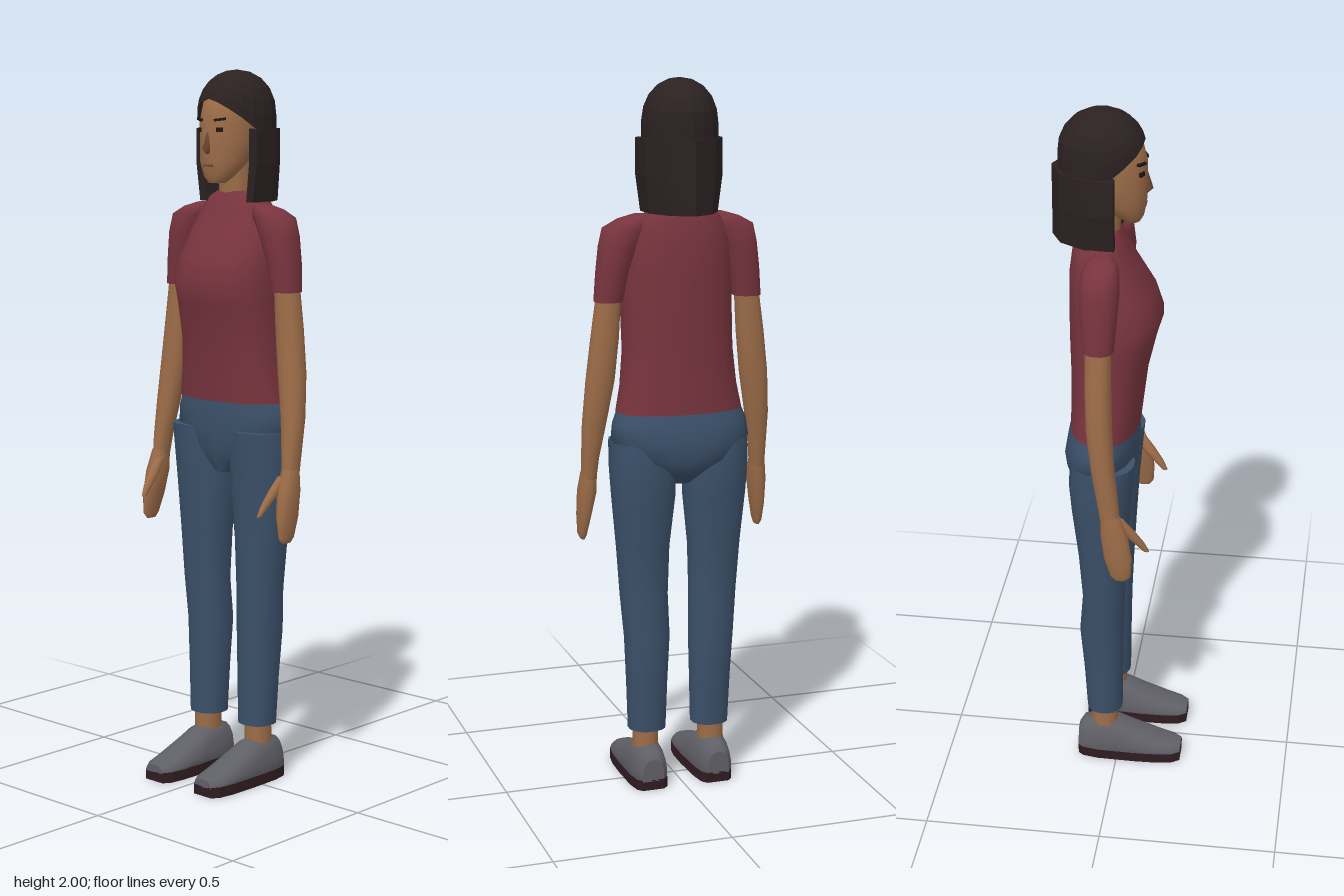
import * as THREE from 'three';

const mat = (name, color, side = THREE.FrontSide, flatShading = false) => {
  const m = new THREE.MeshStandardMaterial({ color, side, flatShading });
  m.name = name;
  return m;
};

// Closed loft through superellipse sections [t, x0, x1, b0, b1].
// Along 'y' t is height and b is z; along 'z' t is depth and b is height.
function loft(rows, n = 14, e = 2.2, axis = 'y') {
  const pos = [], idx = [];
  const flip = (rows[0][0] > rows[rows.length - 1][0]) !== (axis === 'z');
  const tri = (a, b, c) => (flip ? idx.push(a, c, b) : idx.push(a, b, c));
  const put = (x, t, b) => (axis === 'y' ? pos.push(x, t, b) : pos.push(x, b, t));
  const ring = ([t, x0, x1, b0, b1]) => {
    const start = pos.length / 3;
    for (let j = 0; j < n; j++) {
      const a = ((j + 0.5) / n) * Math.PI * 2, c = Math.cos(a), s = Math.sin(a);
      const p = (v) => Math.sign(v) * Math.abs(v) ** (2 / e);
      put((x0 + x1) / 2 + (p(c) * (x1 - x0)) / 2, t, (b0 + b1) / 2 + (p(s) * (b1 - b0)) / 2);
    }
    return start;
  };
  const starts = rows.map(ring);
  for (let i = 0; i < rows.length - 1; i++)
    for (let j = 0; j < n; j++) {
      const k = (j + 1) % n, a = starts[i], b = starts[i + 1];
      tri(a + j, b + j, a + k);
      tri(a + k, b + j, b + k);
    }
  // End caps with their own vertices keep the rims sharp
  [rows[0], rows[rows.length - 1]].forEach((r, end) => {
    const s = ring(r);
    for (let j = 1; j < n - 1; j++) end ? tri(s, s + j + 1, s + j) : tri(s, s + j, s + j + 1);
  });
  const g = new THREE.BufferGeometry();
  g.setAttribute('position', new THREE.Float32BufferAttribute(pos, 3));
  g.setIndex(idx);
  g.computeVertexNormals();
  return g;
}

// Mirror the sections for the right side
const sided = (rows, s) => (s > 0 ? rows : rows.map(([t, a, b, c, d]) => [t, -b, -a, c, d]));
// Sections symmetric about x = 0: [t, halfWidth, b0, b1]
const centred = (rows) => rows.map(([t, w, a, b]) => [t, -w, w, a, b]);

// Dome of hair whose lower edge arches over the forehead
function hairCap(n = 20, rows = 6) {
  const pos = [], idx = [];
  for (let i = 0; i <= rows; i++)
    for (let j = 0; j < n; j++) {
      const a = (j / n) * Math.PI * 2;
      const off = Math.min(a, Math.PI * 2 - a);
      const hem = 1.92 - 0.09 * Math.min(1, off / 1.4) ** 1.5;
      const y = hem + (2 - hem) * Math.sin((i / rows) * Math.PI / 2);
      const s = Math.sqrt(Math.max(0, 1 - Math.max(0, (y - 1.865) / 0.135) ** 2.5));
      pos.push(Math.sin(a) * 0.103 * s, y, -0.053 + Math.cos(a) * 0.119 * s);
    }
  for (let i = 0; i < rows; i++)
    for (let j = 0; j < n; j++) {
      const k = (j + 1) % n, a = i * n, b = a + n;
      idx.push(a + j, a + k, b + j, a + k, b + k, b + j);
    }
  const g = new THREE.BufferGeometry();
  g.setAttribute('position', new THREE.Float32BufferAttribute(pos, 3));
  g.setIndex(idx);
  g.computeVertexNormals();
  return g;
}

export function createModel() {
  const root = new THREE.Group();
  root.name = 'woman';
  const skin = mat('skin', 0x9c6c48);
  const shade = mat('skinShade', 0x6f4932);
  const shirt = mat('shirt', 0x78343e);
  const denim = mat('denim', 0x3b5069);
  const hair = mat('hair', 0x2b2121, THREE.DoubleSide, true);
  const dark = mat('eyeDark', 0x1e1614);
  const shoe = mat('shoe', 0x5f5f66);
  const sole = mat('sole', 0x2f1c20);
  const add = (name, g, m) => {
    const mesh = new THREE.Mesh(g, m);
    mesh.name = name;
    root.add(mesh);
    return mesh;
  };

  // Trunk
  add('shirtBody', loft(centred([
    [1.09, 0.18, -0.14, 0.052], [1.16, 0.166, -0.138, 0.06], [1.26, 0.156, -0.138, 0.072],
    [1.36, 0.156, -0.141, 0.095], [1.42, 0.157, -0.142, 0.113], [1.49, 0.15, -0.142, 0.09],
    [1.56, 0.138, -0.14, 0.045], [1.62, 0.115, -0.132, 0.015], [1.652, 0.09, -0.122, 0.002],
    [1.67, 0.055, -0.105, -0.008],
  ]), 18, 2.3), shirt);
  add('pelvis', loft(centred([
    [0.885, 0.035, -0.09, 0.02], [0.92, 0.08, -0.13, 0.034], [0.955, 0.145, -0.154, 0.042],
    [1.01, 0.198, -0.157, 0.048], [1.06, 0.192, -0.148, 0.048], [1.1, 0.176, -0.135, 0.046],
  ]), 18), denim);
  add('neck', loft(centred([[1.62, 0.052, -0.1, -0.005], [1.68, 0.045, -0.09, -0.005],
    [1.78, 0.045, -0.09, 0]])), skin);

  // Head and face
  add('head', loft(centred([
    [1.692, 0.024, 0.005, 0.048], [1.71, 0.044, -0.02, 0.058], [1.75, 0.066, -0.07, 0.065],
    [1.8, 0.074, -0.11, 0.066], [1.86, 0.078, -0.125, 0.066], [1.92, 0.07, -0.125, 0.052],
    [1.96, 0.04, -0.1, 0.0],
  ]), 20, 2), skin);
  add('nose', loft(centred([[1.772, 0.008, 0.05, 0.068], [1.785, 0.012, 0.05, 0.082],
    [1.83, 0.004, 0.05, 0.068]]), 6, 2), shade);
  add('mouth', new THREE.BoxGeometry(0.034, 0.006, 0.008), shade).position.set(0, 1.74, 0.06);
  for (const s of [1, -1]) {
    const eye = add('eye', new THREE.BoxGeometry(0.019, 0.012, 0.008), dark);
    eye.position.set(0.036 * s, 1.837, 0.055);
    eye.rotation.y = 0.48 * s;
    const brow = add('eyebrow', new THREE.BoxGeometry(0.032, 0.007, 0.009), dark);
    brow.position.set(0.037 * s, 1.865, 0.055);
    brow.rotation.set(0, 0.5 * s, 0.12 * s);
  }

  // Hair: dome plus a long shell hanging behind the face
  add('hairCap', hairCap(), hair);
  const outer = [[0.113, -0.01], [0.11, -0.09], [0.066, -0.158], [0, -0.188],
    [-0.066, -0.158], [-0.11, -0.09], [-0.113, -0.01]];
  const inner = outer.map(([x, z]) => [x * 0.75, z < -0.02 ? z * 0.82 : z]).reverse();
  const shell = new THREE.Shape([...outer, ...inner].map(([x, z]) => new THREE.Vector2(x, z)));
  const fall = new THREE.ExtrudeGeometry(shell, { depth: 0.2, steps: 2, bevelEnabled: false });
  fall.rotateX(Math.PI / 2).translate(0, 1.84, 0);
  const fp = fall.attributes.position;
  for (let i = 0; i < fp.count; i++)
    if (fp.getY(i) < 1.7) fp.setX(i, fp.getX(i) * 0.88);
  fall.computeVertexNormals();
  add('longHair', fall, hair);

  for (const s of [1, -1]) {
    const side = s > 0 ? 'left' : 'right';
    const part = (name, rows, m, n, e) => add(side + name, loft(sided(rows, s), n, e), m);

    // Arm
    part('Sleeve', [
      [1.4, 0.16, 0.24, -0.08, 0.004], [1.48, 0.145, 0.234, -0.088, 0.01],
      [1.55, 0.12, 0.226, -0.092, 0.015], [1.6, 0.09, 0.215, -0.09, 0.012],
      [1.622, 0.085, 0.175, -0.078, 0], [1.635, 0.085, 0.13, -0.06, -0.02],
    ], shirt);
    part('Arm', [
      [0.9, 0.228, 0.27, -0.028, 0.026], [0.96, 0.222, 0.271, -0.038, 0.022],
      [1.06, 0.205, 0.272, -0.055, 0.01], [1.18, 0.184, 0.264, -0.07, 0.002],
      [1.3, 0.172, 0.25, -0.074, -0.002], [1.43, 0.165, 0.232, -0.074, -0.004],
    ], skin);
    part('Hand', [
      [0.72, 0.255, 0.267, 0.012, 0.046], [0.735, 0.25, 0.273, 0, 0.058],
      [0.79, 0.239, 0.277, -0.018, 0.061], [0.86, 0.226, 0.278, -0.028, 0.048],
      [0.92, 0.227, 0.271, -0.028, 0.026],
    ], skin, 10);
    part('Thumb', [
      [0.797, 0.216, 0.229, 0.088, 0.104], [0.825, 0.214, 0.238, 0.062, 0.09],
      [0.86, 0.216, 0.246, 0.028, 0.066], [0.9, 0.224, 0.25, 0, 0.035],
    ], skin, 8);

    // Leg
    part('TrouserLeg', [
      [0.165, 0.04, 0.148, -0.09, 0.013], [0.3, 0.036, 0.153, -0.098, 0.014],
      [0.44, 0.031, 0.16, -0.11, 0.016], [0.56, 0.034, 0.17, -0.1, 0.02],
      [0.7, 0.03, 0.18, -0.11, 0.027], [0.85, 0.014, 0.194, -0.128, 0.036],
      [0.94, 0.014, 0.2, -0.135, 0.044], [1.01, 0.03, 0.199, -0.13, 0.05],
    ], denim, 16);
    part('Ankle', [[0.09, 0.062, 0.136, -0.078, 0], [0.2, 0.062, 0.132, -0.075, 0]], skin, 12);

    // Shoe upper, flattened underneath, on a flat sole
    const rows = [
      [-0.115, 0.066, 0.13, -0.04, 0.09], [-0.1, 0.052, 0.142, -0.06, 0.115],
      [-0.055, 0.045, 0.15, -0.07, 0.129], [0, 0.043, 0.151, -0.06, 0.122],
      [0.05, 0.04, 0.152, -0.04, 0.098], [0.12, 0.041, 0.15, -0.02, 0.07],
      [0.165, 0.047, 0.143, -0.01, 0.056], [0.188, 0.062, 0.128, 0, 0.048],
    ];
    const upper = loft(sided(rows, s), 16, 2.6, 'z');
    const p = upper.attributes.position;
    for (let i = 0; i < p.count; i++) p.setY(i, Math.max(0.025, p.getY(i)));
    upper.computeVertexNormals();
    add(side + 'Shoe', upper, shoe);
    const outline = [...rows.map((r) => [r[2], r[0]]), ...rows.map((r) => [r[1], r[0]]).reverse()];
    const solePlate = new THREE.ExtrudeGeometry(
      new THREE.Shape(outline.map(([x, z]) => new THREE.Vector2(x * s, z))),
      { depth: 0.03, bevelEnabled: false });
    solePlate.rotateX(Math.PI / 2).translate(0, 0.03, 0);
    add(side + 'Sole', solePlate, sole);
  }
  return root;
}
